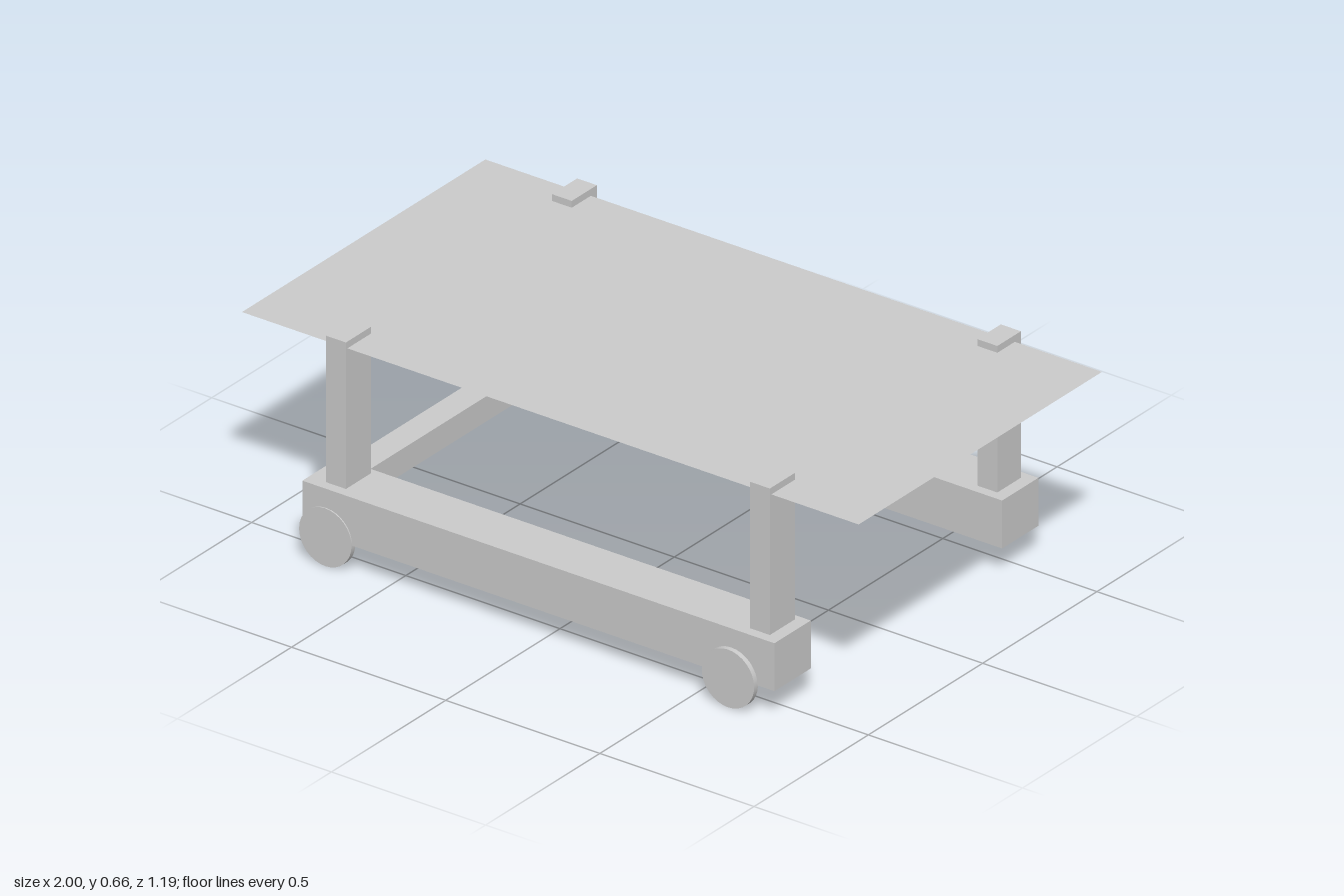
import * as THREE from 'three';

const material = new THREE.MeshStandardMaterial({ color: 0xcccccc });
const sheetMaterial = new THREE.MeshStandardMaterial({ color: 0xcccccc, side: THREE.DoubleSide });

// Box given by its extents along each axis
function box(name, [x0, x1], [y0, y1], [z0, z1]) {
  const mesh = new THREE.Mesh(new THREE.BoxGeometry(x1 - x0, y1 - y0, z1 - z0), material);
  mesh.position.set((x0 + x1) / 2, (y0 + y1) / 2, (z0 + z1) / 2);
  mesh.name = name;
  return mesh;
}

// Thin disc wheel standing on the ground, axle along z
function wheel(name, x, z) {
  const geometry = new THREE.CylinderGeometry(0.085, 0.085, 0.017, 32).rotateX(Math.PI / 2);
  const mesh = new THREE.Mesh(geometry, material);
  mesh.position.set(x, 0.085, z);
  mesh.name = name;
  return mesh;
}

export function createModel() {
  const model = new THREE.Group();
  model.name = 'rollingTable';

  // Long side rails
  model.add(
    box('frontRail', [-0.777, 0.754], [0.085, 0.226], [0.42, 0.579]),
    box('backRail', [-0.777, 0.754], [0.085, 0.226], [-0.576, -0.417]),
  );

  // Single cross beam joining the rails at the right end
  model.add(box('crossBeam', [-0.765, -0.685], [0.142, 0.216], [-0.43, 0.43]));

  // Posts, which pass slightly through the table top
  for (const [side, x] of [['Right', [-0.722, -0.658]], ['Left', [0.652, 0.717]]]) {
    model.add(
      box('front' + side + 'Post', x, [0.22, 0.657], [0.44, 0.549]),
      box('back' + side + 'Post', x, [0.22, 0.657], [-0.549, side === 'Left' ? -0.446 : -0.439]),
    );
  }

  // Wheels on the outer faces of the rails
  model.add(
    wheel('frontRightWheel', -0.7, 0.574),
    wheel('frontLeftWheel', 0.614, 0.585),
    wheel('backRightWheel', -0.7, -0.584),
    wheel('backLeftWheel', 0.614, -0.584),
  );

  // Table top, a single thin sheet
  const top = new THREE.Mesh(new THREE.PlaneGeometry(2, 1.065).rotateX(-Math.PI / 2), sheetMaterial);
  top.position.set(0, 0.637, 0.01);
  top.name = 'tableTop';
  model.add(top);

  return model;
}
